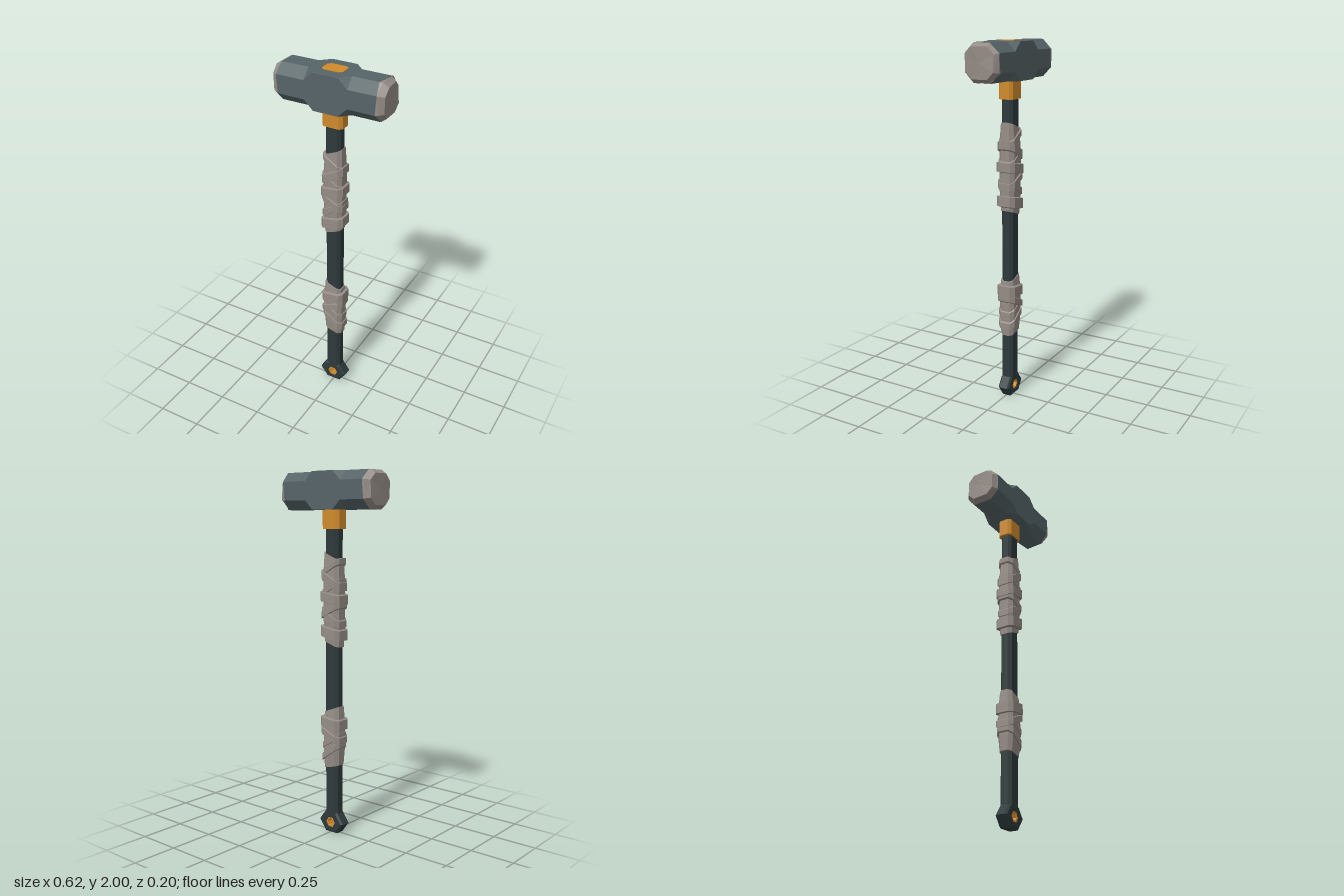
import * as THREE from 'three';

const mat = (name, color) => {
  const m = new THREE.MeshStandardMaterial({ color });
  m.name = name;
  return m;
};

// Flat-shaded loft along y through chamfered rectangles.
// Section: y, half sizes rx/rz, chamfer c, slant (y per x), dy (y offset per corner).
function loft(sections, capBottom = true, capTop = true) {
  const rings = sections.map(({ y, rx, rz, c, slant = 0, dy = [] }) =>
    [[rx, rz - c], [rx - c, rz], [c - rx, rz], [-rx, rz - c],
      [-rx, c - rz], [c - rx, -rz], [rx - c, -rz], [rx, c - rz]]
      .map(([x, z], i) => new THREE.Vector3(x, y + slant * x + (dy[i] || 0), z)));
  const tris = [];
  for (let s = 0; s < rings.length - 1; s++) {
    for (let i = 0; i < 8; i++) {
      const j = (i + 1) % 8, lo = rings[s], hi = rings[s + 1];
      tris.push(lo[i], hi[i], hi[j], lo[i], hi[j], lo[j]);
    }
  }
  const cap = (ring, up) => {
    const mid = ring.reduce((a, p) => a.add(p), new THREE.Vector3()).divideScalar(8);
    for (let i = 0; i < 8; i++) {
      const j = (i + 1) % 8;
      tris.push(mid, up ? ring[j] : ring[i], up ? ring[i] : ring[j]);
    }
  };
  if (capBottom) cap(rings[0], false);
  if (capTop) cap(rings[rings.length - 1], true);
  const g = new THREE.BufferGeometry().setFromPoints(tris);
  g.computeVertexNormals();
  return g;
}

function polygon(points) {
  return points.map(([x, y]) => new THREE.Vector2(x, y));
}

function hexagon(r) {
  return Array.from({ length: 6 }, (_, i) => [r * Math.cos(i * Math.PI / 3), r * Math.sin(i * Math.PI / 3)]);
}

export function createModel() {
  const steel = mat('head steel', 0x566467);
  const dark = mat('dark handle', 0x2e393b);
  const orange = mat('orange trim', 0xd08b2b);
  const worn = mat('worn grey', 0x958c86);

  const model = new THREE.Group();
  model.name = 'sledgehammer';
  const add = (parent, name, geometry, material) => {
    const mesh = new THREE.Mesh(geometry, material);
    mesh.name = name;
    parent.add(mesh);
    return mesh;
  };

  // Head: lofted along its length, then laid on its side
  const head = new THREE.Group();
  head.name = 'head';
  head.position.y = 1.9;
  head.rotation.z = -Math.PI / 2;
  model.add(head);
  const sec = (y, r, c, dy) => ({ y, rx: r, rz: r, c, dy });
  const leftEdge = sec(0.274, 0.1, 0.05, [0.004, -0.006, 0.002, -0.01, 0.014, 0.006, -0.004, 0.012]);
  const rightEdge = sec(-0.274, 0.1, 0.05, [0, 0.003, -0.004, 0, 0.004, 0.012, 0.002, -0.003]);
  add(head, 'headBody', loft([
    rightEdge, sec(-0.12, 0.1, 0.05), sec(-0.07, 0.1, 0.001),
    sec(0.07, 0.1, 0.001), sec(0.12, 0.1, 0.05), leftEdge,
  ], false, false), steel);
  add(head, 'leftStrikingFace', loft([
    leftEdge, sec(0.281, 0.098, 0.05),
    sec(0.305, 0.08, 0.036, [0, 0.004, 0.006, 0.008, 0, -0.003, 0.002, 0]),
  ], false, true), worn);
  add(head, 'rightStrikingFace', loft([
    sec(-0.306, 0.08, 0.036, [0, 0.002, 0, -0.001, 0, 0.003, 0, 0]),
    sec(-0.279, 0.098, 0.05), rightEdge,
  ], true, false), worn);

  // Collar passes through the head and shows on its top
  add(model, 'collar', loft([
    { y: 1.7, rx: 0.059, rz: 0.042, c: 0.016 },
    { y: 2.002, rx: 0.059, rz: 0.043, c: 0.016 },
  ]), orange);

  // Shaft
  add(model, 'shaft', loft([
    { y: 0.1, rx: 0.044, rz: 0.034, c: 0.016 },
    { y: 1.75, rx: 0.044, rz: 0.034, c: 0.016 },
  ]), dark);

  // Pommel: hexagonal eye with a bevelled rim
  const outline = [[0.072, 0], [0.036, 0.05], [-0.036, 0.05], [-0.072, 0], [-0.036, -0.05], [0.036, -0.05]];
  const eye = new THREE.Shape(polygon(outline));
  eye.holes.push(new THREE.Path(polygon(hexagon(0.033).reverse())));
  const pommel = add(model, 'pommel', new THREE.ExtrudeGeometry(eye, {
    depth: 0.048, bevelEnabled: true, bevelSize: 0.01, bevelThickness: 0.01, bevelSegments: 1,
  }), dark);
  pommel.position.set(0, 0.06, -0.024);

  // Orange lining of the eye
  const rim = new THREE.Shape(polygon(hexagon(0.031)));
  rim.holes.push(new THREE.Path(polygon(hexagon(0.021).reverse())));
  const lining = add(model, 'eyeLining', new THREE.ExtrudeGeometry(rim, { depth: 0.064, bevelEnabled: false }), orange);
  lining.position.set(0, 0.06, -0.032);

  // Grip wraps: a slanted sleeve with tilted bands over it
  const wrap = (name, bottom, top, slantBottom, slantTop, bands) => {
    const group = new THREE.Group();
    group.name = name;
    model.add(group);
    const h = top - bottom;
    add(group, 'sleeve', loft([
      { y: bottom, rx: 0.05, rz: 0.038, c: 0.017, slant: slantBottom },
      { y: bottom + h * 0.25, rx: 0.055, rz: 0.046, c: 0.02, slant: slantBottom },
      { y: top - h * 0.25, rx: 0.055, rz: 0.046, c: 0.02, slant: slantTop },
      { y: top, rx: 0.05, rz: 0.038, c: 0.017, slant: slantTop },
    ]), worn);
    for (const [y, width, slant, out] of bands) {
      const at = (dy, o) => ({ y: y + dy, rx: 0.052 + o, rz: 0.042 + o, c: 0.021, slant });
      add(group, 'band', loft([
        at(-width / 2, 0), at(-width / 2 + 0.005, out),
        at(width / 2 - 0.005, out), at(width / 2, 0),
      ]), worn);
    }
  };
  wrap('upperWrap', 1.08, 1.558, 0.35, 0.42, [
    [1.495, 0.04, -0.6, 0.006], [1.425, 0.055, 0.55, 0.011], [1.385, 0.04, -0.6, 0.008],
    [1.33, 0.06, 0.15, 0.015], [1.265, 0.045, -0.5, 0.011], [1.225, 0.045, 0.6, 0.009],
    [1.14, 0.065, 0.2, 0.014],
  ]);
  wrap('lowerWrap', 0.385, 0.713, -0.25, -0.4, [
    [0.635, 0.065, 0.1, 0.014], [0.57, 0.045, 0.45, 0.013],
    [0.535, 0.04, -0.6, 0.008], [0.475, 0.045, -0.7, 0.009],
  ]);

  model.position.x = -0.004;
  return model;
}
